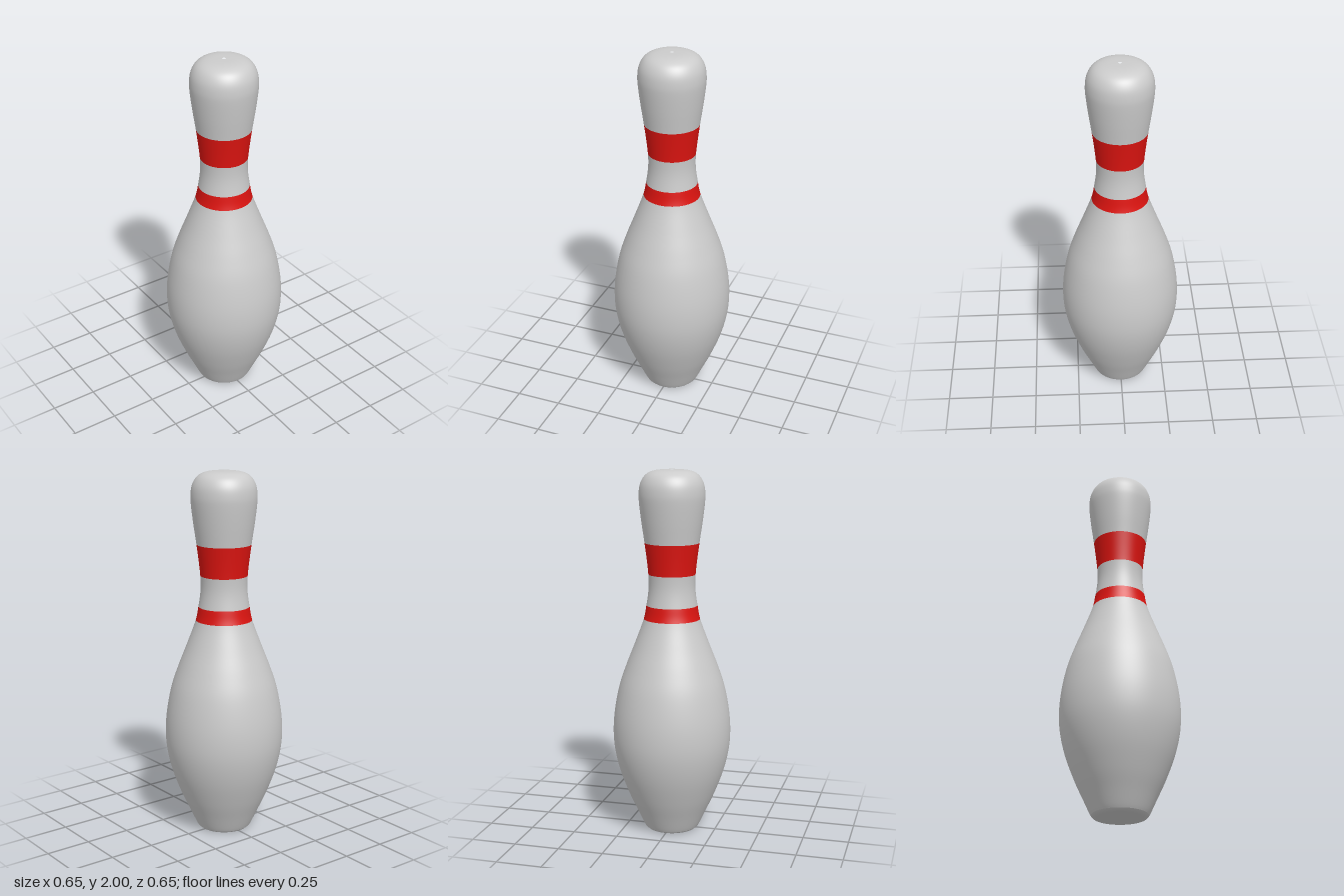
import * as THREE from 'three';

// Silhouette from the foot to the crown: [radius, height]
const PROFILE = [
  [0.15, 0.012], [0.162, 0.035], [0.192, 0.1], [0.238, 0.2], [0.287, 0.33], [0.316, 0.45], [0.325, 0.56],
  [0.317, 0.68], [0.29, 0.82], [0.25, 0.94], [0.203, 1.06], [0.155, 1.19], [0.139, 1.27], [0.128, 1.35],
  [0.127, 1.42], [0.134, 1.5], [0.148, 1.61], [0.164, 1.72], [0.176, 1.82], [0.178, 1.875], [0.17, 1.925],
  [0.148, 1.965], [0.115, 1.988], [0.07, 1.998], [0.009, 2],
].map(([r, y]) => new THREE.Vector2(r, y));

const curve = new THREE.SplineCurve(PROFILE);

// Curve parameter at a given height (the profile rises steadily)
function paramAt(y) {
  let lo = 0, hi = 1;
  for (let i = 0; i < 40; i++) {
    const mid = (lo + hi) / 2;
    if (curve.getPoint(mid).y < y) lo = mid; else hi = mid;
  }
  return (lo + hi) / 2;
}

export function createModel() {
  const group = new THREE.Group();
  const grey = new THREE.MeshStandardMaterial({ color: 0xcccccc });
  const red = new THREE.MeshStandardMaterial({ color: 0xdd1410 });

  const add = (name, points, material) => {
    const mesh = new THREE.Mesh(new THREE.LatheGeometry(points, 96), material);
    mesh.name = name;
    group.add(mesh);
  };

  // Turned sections and painted bands, cut from the one silhouette;
  // the crown keeps its tiny open centre hole
  const sections = [
    ['body', 0.012, 1.195, grey],
    ['lowerBand', 1.195, 1.27, red],
    ['neck', 1.27, 1.44, grey],
    ['upperBand', 1.44, 1.61, red],
    ['head', 1.61, 2, grey],
  ];
  for (const [name, y0, y1, material] of sections) {
    const t0 = y0 === 0.012 ? 0 : paramAt(y0);
    const t1 = y1 === 2 ? 1 : paramAt(y1);
    const n = Math.max(10, Math.ceil((t1 - t0) * 120));
    const points = [];
    for (let i = 0; i <= n; i++) points.push(curve.getPoint(t0 + ((t1 - t0) * i) / n));
    add(name, points, material);
  }

  // Flat foot with a small rounded rim
  add('base', [[0, 0], [0.125, 0], [0.14, 0.003], [0.15, 0.012]].map(([r, y]) => new THREE.Vector2(r, y)), grey);

  return group;
}
